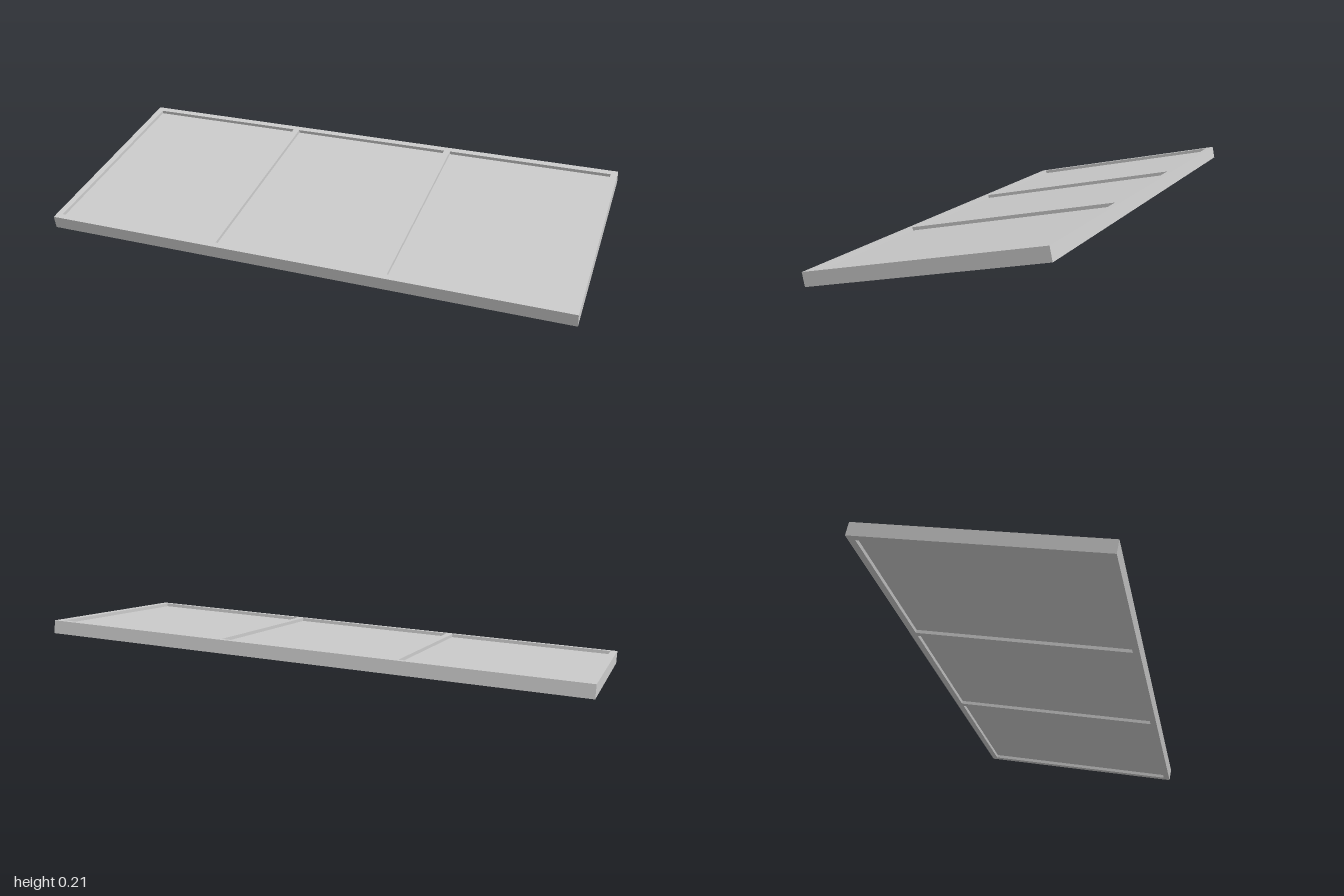
import * as THREE from 'three';

const W = 2, L = 0.852, T = 0.049; // overall width, slope length, thickness
const BAR = 0.025, PANE_T = 0.024, COUNT = 3;
const TILT = Math.atan2(0.164, 0.836);

function rectangle(target, x, y, w, h) {
  target.moveTo(x, y);
  target.lineTo(x + w, y);
  target.lineTo(x + w, y + h);
  target.lineTo(x, y + h);
  target.closePath();
  return target;
}

export function createModel() {
  const model = new THREE.Group();
  model.name = 'slopedGlazedPanel';
  const material = new THREE.MeshStandardMaterial({ color: 0xcccccc });

  // Everything is built flat, then tilted so the back edge is raised
  const panel = new THREE.Group();
  panel.name = 'tiltedPanel';
  const paneW = (W - BAR * (COUNT + 1)) / COUNT;
  const paneL = L - 2 * BAR;

  const outline = rectangle(new THREE.Shape(), -W / 2, -L / 2, W, L);
  for (let i = 0; i < COUNT; i++) {
    const x = -W / 2 + BAR + i * (paneW + BAR);
    outline.holes.push(rectangle(new THREE.Path(), x, -paneL / 2, paneW, paneL));

    // Pane recessed on both faces of the frame
    const pane = new THREE.Mesh(new THREE.BoxGeometry(paneW, PANE_T, paneL), material);
    pane.name = `pane${i + 1}`;
    pane.position.x = x + paneW / 2;
    panel.add(pane);
  }

  // Outer frame and dividing bars in one piece
  const frameGeometry = new THREE.ExtrudeGeometry(outline, { depth: T, bevelEnabled: false });
  frameGeometry.translate(0, 0, -T / 2).rotateX(-Math.PI / 2);
  const frame = new THREE.Mesh(frameGeometry, material);
  frame.name = 'frame';
  panel.add(frame);

  panel.rotation.x = TILT;
  panel.position.y = (L * Math.sin(TILT) + T * Math.cos(TILT)) / 2;
  model.add(panel);
  return model;
}
